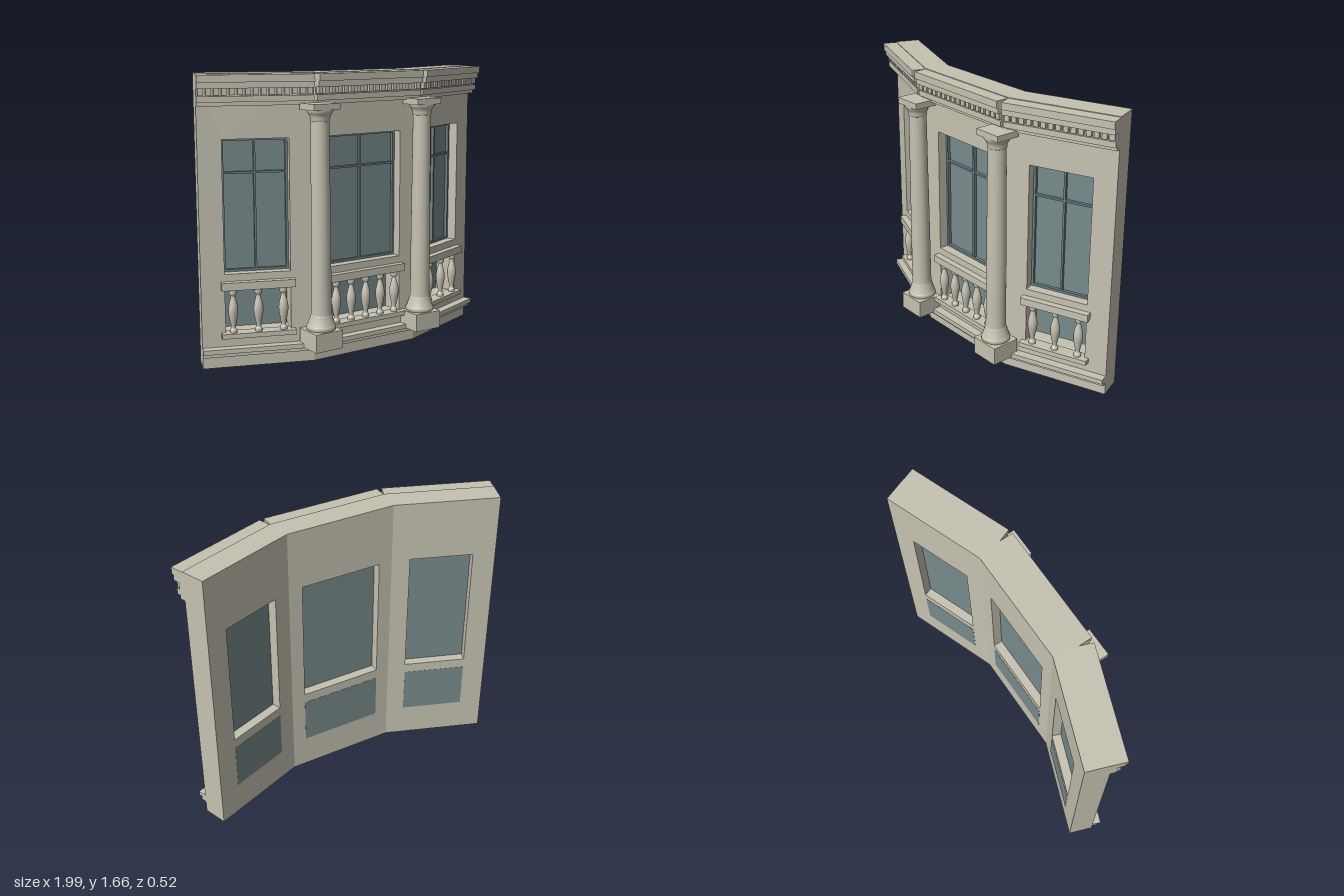
import * as THREE from 'three';

const ANGLE = THREE.MathUtils.degToRad(20.5); // turn of the side walls
const THICK = 0.145, HEIGHT = 1.665, HALF = 0.361, SIDE = 0.645, FRONT = 0.1;
const SILL = 0.545, HEAD = 1.305, LOW0 = 0.2, LOW1 = 0.485;

const stone = new THREE.MeshStandardMaterial({ color: 0xc6c2b2 });
stone.name = 'stone';
const glass = new THREE.MeshStandardMaterial({ color: 0x788a8b });
glass.name = 'glass';
const frame = new THREE.MeshStandardMaterial({ color: 0x6c7f83 });
frame.name = 'window frame';

function add(parent, name, geometry, material, x = 0, y = 0, z = 0) {
  const mesh = new THREE.Mesh(geometry, material);
  mesh.name = name;
  mesh.position.set(x, y, z);
  parent.add(mesh);
  return mesh;
}

// Box given by its centre x, width and its y and z ranges
function block(parent, name, material, x, w, y0, y1, z0, z1) {
  return add(parent, name, new THREE.BoxGeometry(w, y1 - y0, z1 - z0), material,
    x, (y0 + y1) / 2, (z0 + z1) / 2);
}

function lathe(points, segments) {
  return new THREE.LatheGeometry(points.map(([r, y]) => new THREE.Vector2(r, y)), segments);
}

// Lathe with a smooth curve through the points
function turned(points, segments, steps) {
  const curve = new THREE.SplineCurve(points.map(([r, y]) => new THREE.Vector2(r, y)));
  return new THREE.LatheGeometry(curve.getPoints(steps), segments);
}

function rectHole(w, y0, y1) {
  const h = new THREE.Path();
  h.moveTo(-w / 2, y0);
  h.lineTo(-w / 2, y1);
  h.lineTo(w / 2, y1);
  h.lineTo(w / 2, y0);
  h.closePath();
  return h;
}

// Wall with two openings; mitred ends are drawn in at the back
function wallGeometry(width, openW, mitreLeft, mitreRight) {
  const s = new THREE.Shape();
  s.moveTo(-width / 2, 0);
  s.lineTo(width / 2, 0);
  s.lineTo(width / 2, HEIGHT);
  s.lineTo(-width / 2, HEIGHT);
  s.closePath();
  s.holes.push(rectHole(openW, SILL, HEAD), rectHole(openW, LOW0, LOW1));
  const g = new THREE.ExtrudeGeometry(s, { depth: THICK, bevelEnabled: false });
  g.translate(0, 0, -THICK);
  const p = g.attributes.position, shift = THICK * Math.tan(ANGLE / 2);
  for (let i = 0; i < p.count; i++) {
    if (p.getZ(i) > -THICK / 2) continue;
    const x = p.getX(i);
    if (mitreLeft && x < -width / 2 + 1e-4) p.setX(i, x + shift);
    if (mitreRight && x > width / 2 - 1e-4) p.setX(i, x - shift);
  }
  g.computeVertexNormals();
  return g;
}

const balusterGeometry = turned([
  [0.021, 0.205], [0.021, 0.222], [0.014, 0.232], [0.015, 0.25], [0.023, 0.29],
  [0.028, 0.33], [0.025, 0.365], [0.015, 0.405], [0.013, 0.42], [0.021, 0.432], [0.021, 0.46],
], 16, 30);

function addWindow(panel, w) {
  const win = new THREE.Group();
  win.name = 'window';
  const z0 = -0.082, z1 = -0.057, b = 0.014;
  for (const s of [-1, 1]) block(win, 'frameSide', frame, s * (w - b) / 2, b, SILL, HEAD, z0, z1);
  block(win, 'frameBottom', frame, 0, w, SILL, SILL + b, z0, z1);
  block(win, 'frameTop', frame, 0, w, HEAD - b, HEAD, z0, z1);
  block(win, 'mullion', frame, 0, 0.012, SILL, HEAD, z0, z1);
  block(win, 'transom', frame, 0, w, 1.105, 1.117, z0, z1);
  block(win, 'glassPane', glass, 0, w, SILL, HEAD, -0.09, z0 + 0.006);
  block(win, 'lowerPane', glass, 0, w, LOW0, LOW1, -THICK - 0.001, -THICK + 0.008);
  panel.add(win);
}

function addBalustrade(panel, railW, count, pitch) {
  const rail = new THREE.Group();
  rail.name = 'balustrade';
  block(rail, 'topRail', stone, 0, railW, 0.458, 0.503, -0.04, 0.04);
  block(rail, 'bottomRail', stone, 0, railW + 0.005, 0.178, 0.206, -0.04, 0.04);
  for (let i = 0; i < count; i++) {
    add(rail, 'baluster', balusterGeometry, stone, (i - (count - 1) / 2) * pitch, 0, 0.003);
  }
  panel.add(rail);
}

function addMouldings(panel, width, dentils) {
  const layers = [
    ['baseMoulding', 0.073, 0.096, 0.033], ['baseMoulding', 0.096, 0.123, 0.053],
    ['cornice', 1.49, 1.512, 0.033], ['cornice', 1.512, 1.545, 0.053],
    ['cornice', 1.545, 1.587, 0.034], ['cornice', 1.587, 1.62, 0.071],
    ['cornice', 1.62, 1.661, 0.082],
  ];
  for (const [name, y0, y1, d] of layers) block(panel, name, stone, 0, width, y0, y1, -0.005, d);
  const pitch = width / dentils;
  for (let i = 0; i < dentils; i++) {
    block(panel, 'dentil', stone, (i + 0.5) * pitch - width / 2, pitch * 0.66, 1.55, 1.587, 0.03, 0.056);
  }
}

function makePanel(name, o) {
  const panel = new THREE.Group();
  panel.name = name;
  add(panel, 'wall', wallGeometry(o.width, o.open, o.left, o.right), stone);
  addWindow(panel, o.open);
  addBalustrade(panel, o.rail, o.balusters, o.pitch);
  addMouldings(panel, o.width, o.dentils);
  return panel;
}

function makeColumn() {
  const column = new THREE.Group();
  column.name = 'column';
  block(column, 'plinth', stone, 0, 0.18, 0.1, 0.207, -0.088, 0.088);
  add(column, 'columnBase', lathe([[0.078, 0.207], [0.085, 0.213], [0.085, 0.228], [0.08, 0.235]], 28), stone);
  add(column, 'shaft', turned([
    [0.08, 0.235], [0.072, 0.258], [0.063, 0.29], [0.059, 0.33], [0.058, 0.6],
    [0.055, 1.0], [0.052, 1.4],
  ], 28, 36), stone);
  add(column, 'capital', lathe([
    [0.052, 1.4], [0.056, 1.405], [0.056, 1.418], [0.059, 1.43], [0.066, 1.443],
    [0.074, 1.452], [0.074, 1.466],
  ], 28), stone);
  block(column, 'abacus', stone, 0, 0.172, 1.464, 1.5, -0.074, 0.074);
  return column;
}

export function createModel() {
  const model = new THREE.Group();
  model.name = 'bayFacade';

  // Centre wall
  const centre = makePanel('centrePanel', {
    width: HALF * 2, open: 0.5, left: true, right: true,
    rail: 0.53, balusters: 5, pitch: 0.105, dentils: 17,
  });
  centre.position.z = FRONT;
  model.add(centre);

  // Angled side walls and columns at the corners
  for (const s of [-1, 1]) {
    const side = makePanel(s > 0 ? 'leftPanel' : 'rightPanel', {
      width: SIDE, open: 0.376, left: s > 0, right: s < 0,
      rail: 0.42, balusters: 3, pitch: 0.144, dentils: 15,
    });
    side.rotation.y = s * ANGLE;
    side.position.set(s * (HALF + SIDE / 2 * Math.cos(ANGLE)), 0, FRONT - SIDE / 2 * Math.sin(ANGLE));
    model.add(side);

    const column = makeColumn();
    column.position.set(s * 0.356, 0, 0.17);
    model.add(column);
  }
  return model;
}
